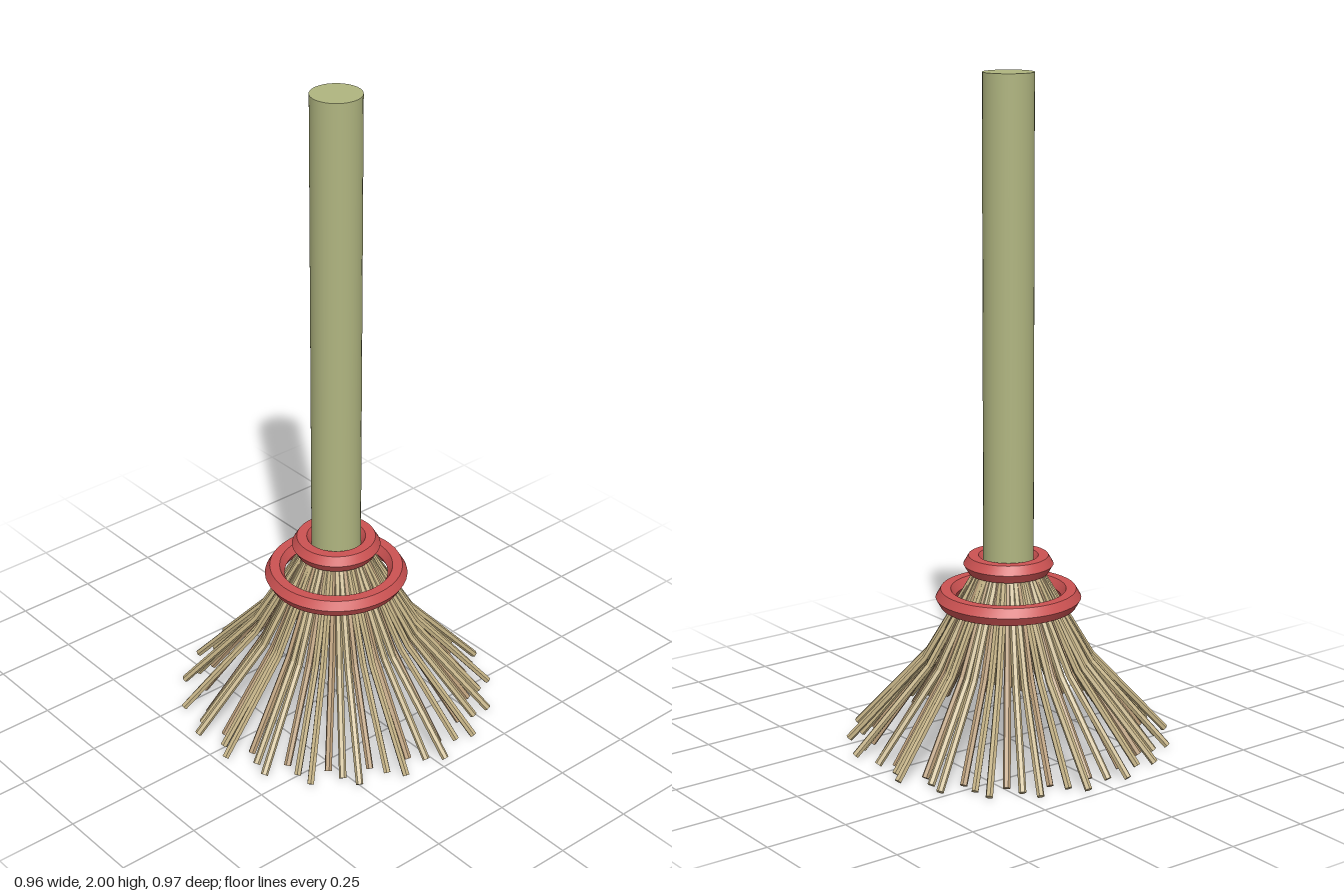
import * as THREE from 'three';
import { mergeGeometries, toCreasedNormals } from 'three/addons/utils/BufferGeometryUtils.js';

const mat = (color, flatShading = false) => {
  const m = new THREE.MeshStandardMaterial({ flatShading });
  m.color.set(color);
  return m;
};

// straight six-sided rod between two points
function rod(a, b, radius) {
  const dir = b.clone().sub(a);
  const g = new THREE.CylinderGeometry(radius, radius, dir.length(), 6);
  g.applyQuaternion(new THREE.Quaternion().setFromUnitVectors(new THREE.Vector3(0, 1, 0), dir.normalize()));
  const mid = a.clone().lerp(b, 0.5);
  return g.translate(mid.x, mid.y, mid.z);
}

export function createModel() {
  const group = new THREE.Group();
  const add = (name, geometry, material) => {
    const mesh = new THREE.Mesh(geometry, material);
    mesh.name = name;
    group.add(mesh);
    return mesh;
  };

  // handle
  const handle = add('handle', new THREE.CylinderGeometry(0.075, 0.075, 1.5, 32), mat(0xb0b580));
  handle.position.y = 1.25;

  // hexagonal binding rings
  const red = mat(0xcc5252);
  const ring = (name, radius, y) => {
    const g = new THREE.TorusGeometry(radius, 0.03, 6, 48).rotateX(Math.PI / 2);
    add(name, toCreasedNormals(g, Math.PI / 6), red).position.y = y;
  };
  ring('upperRing', 0.104, 0.553);
  ring('lowerRing', 0.187, 0.45);

  // bristles: bent rods in three repeating lengths
  const count = 62;
  const kinds = [
    { name: 'shortBristles', tip: 0.412, color: 0xb89c78 },
    { name: 'middleBristles', tip: 0.446, color: 0xc2b084 },
    { name: 'longBristles', tip: 0.48, color: 0xc2b084 },
  ];
  kinds.forEach(({ name, tip, color }, k) => {
    const parts = [];
    for (let i = k; i < count; i += 3) {
      const a = (i / count) * Math.PI * 2;
      const at = (r, y) => new THREE.Vector3(r * Math.cos(a), y, -r * Math.sin(a));
      const bend = at(0.25 + (tip - 0.48) * 0.3, 0.26);
      parts.push(rod(at(0.08, 0.55), bend, 0.011), rod(bend, at(tip, 0.0085), 0.011));
    }
    add(name, mergeGeometries(parts), mat(color, true));
  });

  return group;
}
